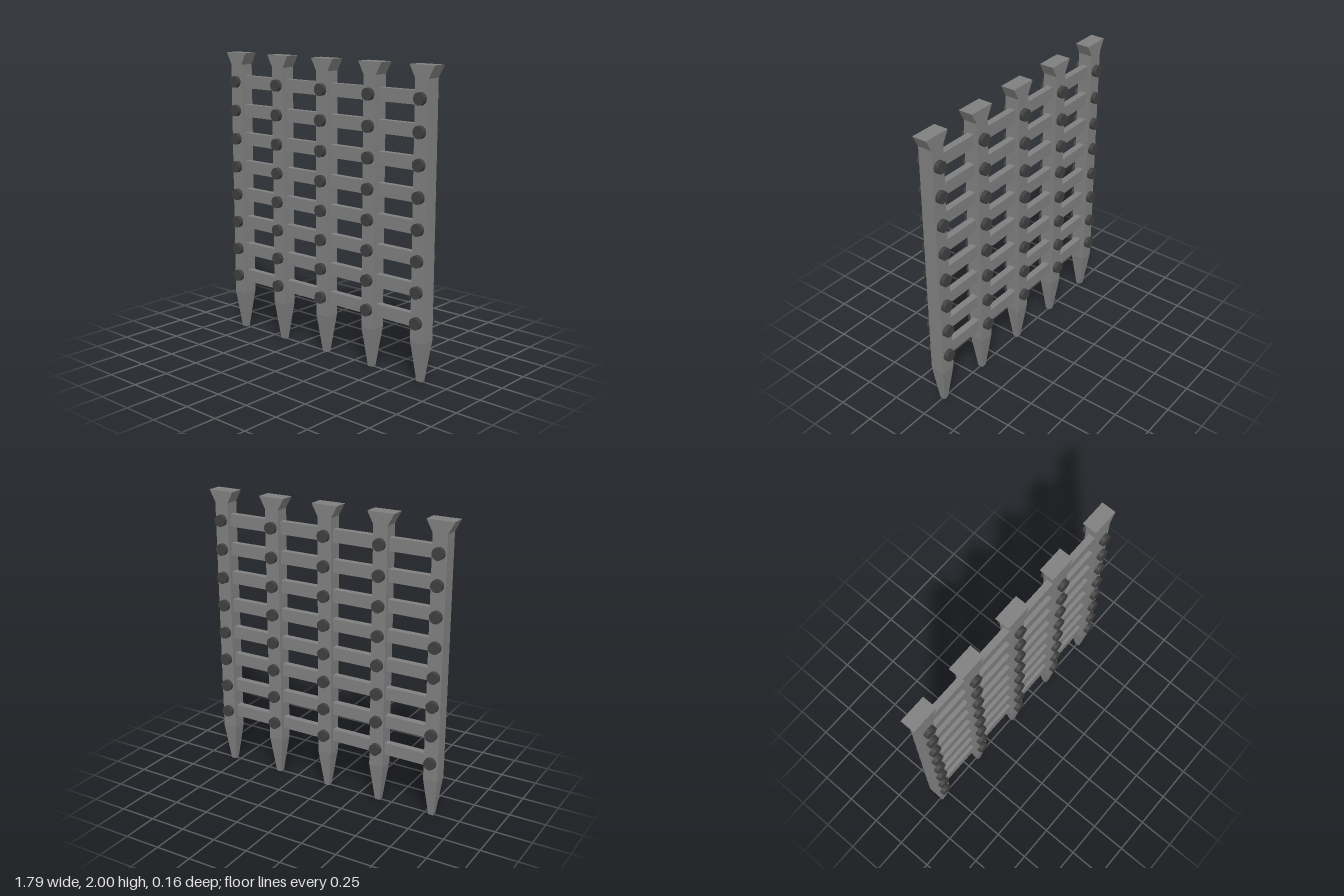
import * as THREE from 'three';

const iron = new THREE.MeshStandardMaterial({ color: 0x808080, flatShading: true });
const darkIron = new THREE.MeshStandardMaterial({ color: 0x404040 });

// Square post: pointed foot, straight shaft, head flared sideways only
function postGeometry() {
  const rings = [ // y, half width, half depth
    [0, 0.018, 0.018],
    [0.27, 0.05, 0.05],
    [1.92, 0.05, 0.05],
    [2, 0.093, 0.05],
  ];
  const geo = new THREE.BoxGeometry(2, 3, 2, 1, 3, 1);
  const pos = geo.attributes.position;
  for (let i = 0; i < pos.count; i++) {
    const [y, w, d] = rings[Math.round(pos.getY(i) + 1.5)];
    pos.setXYZ(i, Math.sign(pos.getX(i)) * w, y, Math.sign(pos.getZ(i)) * d);
  }
  geo.computeVertexNormals();
  return geo;
}

export function createModel() {
  const gate = new THREE.Group();
  gate.name = 'portcullis';

  const add = (name, geo, material, x, y) => {
    const mesh = new THREE.Mesh(geo, material);
    mesh.name = name;
    mesh.position.set(x, y, 0);
    gate.add(mesh);
  };

  const postXs = [-0.8, -0.4, 0, 0.4, 0.8];
  const post = postGeometry();
  const rail = new THREE.BoxGeometry(1.6, 0.086, 0.046);
  // Each rivet runs through the post and shows a head on both faces
  const rivet = new THREE.CylinderGeometry(0.04, 0.04, 0.16, 20).rotateX(Math.PI / 2);

  for (const x of postXs) add('post', post, iron, x, 0);

  // Eight horizontal rails, riveted at every post
  for (let row = 0; row < 8; row++) {
    const y = 0.4 + row * 0.2;
    add('rail', rail, iron, 0, y);
    for (const x of postXs) add('rivet', rivet, darkIron, x, y);
  }
  return gate;
}
